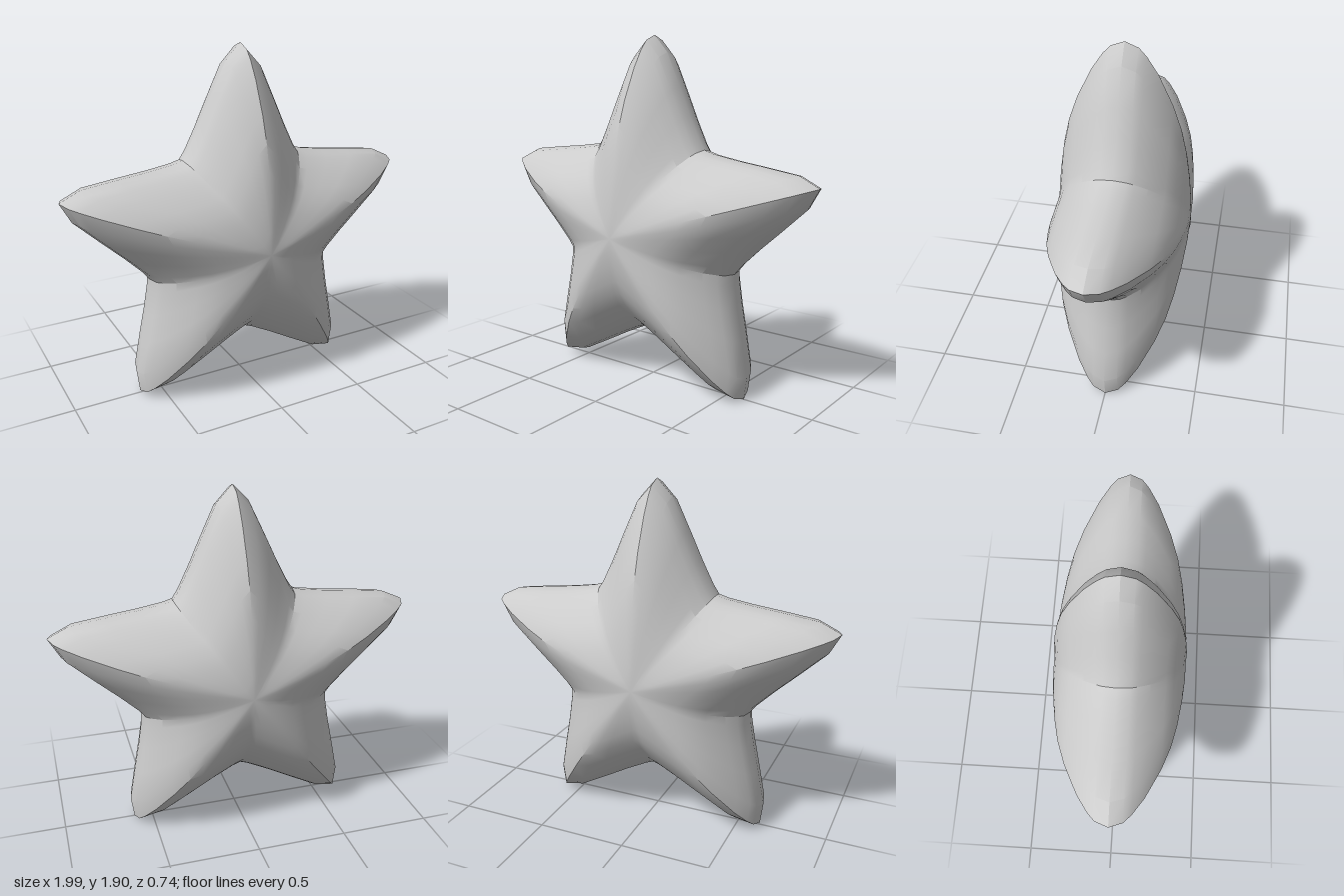
import * as THREE from 'three';
import { toCreasedNormals } from 'three/addons/utils/BufferGeometryUtils.js';

// Half of one arm in its own frame, tip to valley: [across, along]
const HALF_ARM = [[0, 1.045], [0.085, 0.955], [0.168, 0.78], [0.237, 0.63], [0.3, 0.505], [0.332, 0.457]];
// Puffed profile, centre to rim: [outline scale, depth]
const PROFILE = [[0, 0.37], [0.13, 0.365], [0.27, 0.35], [0.42, 0.326], [0.55, 0.295],
  [0.68, 0.248], [0.84, 0.17], [0.93, 0.11], [0.973, 0.07], [1, 0]];

// Closed star outline, counter-clockwise
function starOutline() {
  const valleyToTip = HALF_ARM.slice().reverse();
  const tipToLast = HALF_ARM.slice(1, -1).map(([u, v]) => [-u, v]);
  const points = [];
  for (let i = 0; i < 5; i++) {
    const a = Math.PI / 2 - 0.01 + (i * Math.PI * 2) / 5;
    const c = Math.cos(a), s = Math.sin(a);
    for (const [u, v] of [...valleyToTip, ...tipToLast]) points.push([v * c + u * s, v * s - u * c]);
  }
  return points;
}

// Scaled copies of the outline, stacked from the front centre to the back centre
function puffedStar() {
  const outline = starOutline();
  const n = outline.length;
  const levels = [...PROFILE, ...PROFILE.slice(0, -1).reverse().map(([k, z]) => [k, -z])];
  const positions = [], index = [];
  for (const [k, z] of levels) for (const [x, y] of outline) positions.push(x * k, y * k, z);
  for (let i = 0; i < levels.length - 1; i++) {
    for (let j = 0; j < n; j++) {
      const a = i * n + j, d = i * n + ((j + 1) % n), b = a + n, c = d + n;
      if (i < levels.length - 2) index.push(a, b, c);
      else index.push(a, b, d);
      if (i > 0 && i < levels.length - 2) index.push(a, c, d);
    }
  }
  const geometry = new THREE.BufferGeometry();
  geometry.setAttribute('position', new THREE.Float32BufferAttribute(positions, 3));
  geometry.setIndex(index);
  return toCreasedNormals(geometry, THREE.MathUtils.degToRad(30));
}

export function createModel() {
  const group = new THREE.Group();
  group.name = 'puffedStar';
  const star = new THREE.Mesh(puffedStar(), new THREE.MeshStandardMaterial({ color: 0xcccccc }));
  star.name = 'starBody';
  star.position.set(-0.003, 0.851, 0);
  group.add(star);
  return group;
}
